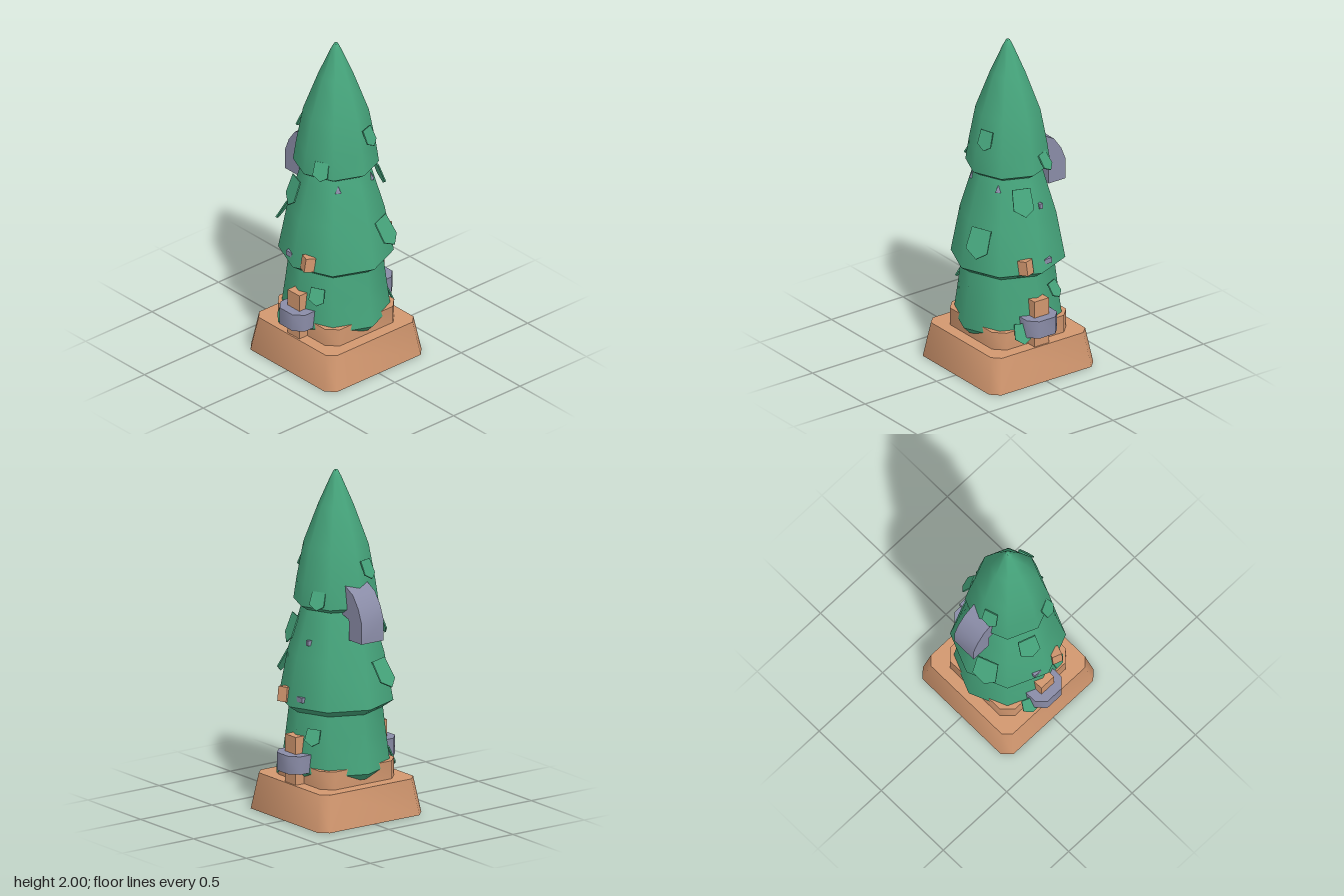
import * as THREE from 'three';
import { toCreasedNormals } from 'three/addons/utils/BufferGeometryUtils.js';

const mat = (name, color) => {
  const m = new THREE.MeshStandardMaterial({ color });
  m.name = name;
  return m;
};
const shapeOf = (pts) => new THREE.Shape(pts.map(([x, y]) => new THREE.Vector2(x, y)));

// Square block with cut corners, from y0 to y1, narrowing by the factor taper
function cutBlock(half, cut, y0, y1, taper = 1) {
  const i = half - cut;
  const s = shapeOf([[half, -i], [half, i], [i, half], [-i, half], [-half, i], [-half, -i], [-i, -half], [i, -half]]);
  const g = new THREE.ExtrudeGeometry(s, { depth: y1 - y0, bevelEnabled: false });
  g.rotateX(-Math.PI / 2);
  const p = g.attributes.position;
  for (let k = 0; k < p.count; k++) {
    const f = 1 + (taper - 1) * p.getY(k) / (y1 - y0);
    p.setXYZ(k, p.getX(k) * f, p.getY(k) + y0, p.getZ(k) * f);
  }
  return toCreasedNormals(g, 0.8);
}

export function createModel() {
  const model = new THREE.Group();
  const green = mat('foliage green', 0x46a57c);
  const wood = mat('warm wood', 0xd2976f);
  const grey = mat('blue grey', 0x8a8ca7);
  const add = (name, geo, material, parent = model) => {
    const m = new THREE.Mesh(geo, material);
    m.name = name;
    parent.add(m);
    return m;
  };

  // Stepped base
  add('plinth', cutBlock(0.365, 0.05, 0, 0.21, 0.905), wood);
  add('upperPlinth', cutBlock(0.26, 0.06, 0.2, 0.315), wood);

  // Eight-sided foliage tiers as [radius, height] profiles
  const tiers = {
    lowerFoliage: [[0, 0.24], [0.27, 0.24], [0.31, 0.28], [0.285, 0.47], [0.265, 0.64]],
    middleFoliage: [[0, 0.62], [0.27, 0.62], [0.327, 0.66], [0.275, 0.94], [0.21, 1.16], [0.19, 1.23]],
    topFoliage: [[0, 1.21], [0.205, 1.21], [0.243, 1.235], [0.225, 1.36], [0.186, 1.57], [0.1, 1.8],
      [0.03, 1.96], [0.012, 1.995], [0, 2]],
  };
  for (const [name, pts] of Object.entries(tiers)) {
    const g = new THREE.LatheGeometry(pts.map(([r, y]) => new THREE.Vector2(r, y)), 8);
    add(name, toCreasedNormals(g, 0.82), green);
  }

  // Shield-shaped leaf flaps, repeated by a half turn: x, y, z, width, height, tilt
  const leafShape = shapeOf([[-0.4, 0.5], [0.42, 0.5], [0.5, -0.25], [0.1, -0.5], [-0.42, -0.22]]);
  const leafGeo = new THREE.ExtrudeGeometry(leafShape, { depth: 0.008, bevelEnabled: false });
  const leaves = [
    [0.115, 0.845, 0.295, 0.155, 0.175, 0.5],
    [0.065, 1.445, 0.208, 0.1, 0.115, 0.4],
    [0.25, 1.09, 0.085, 0.13, 0.165, 0.35],
    [0.21, 1.28, -0.105, 0.1, 0.11, 0.5],
    [0.262, 0.495, -0.13, 0.1, 0.1, 0.5],
    [0.295, 0.3, 0.12, 0.1, 0.12, 0.4],
  ];
  for (const turn of [0, Math.PI]) {
    const side = new THREE.Group();
    side.name = turn ? 'backLeaves' : 'frontLeaves';
    side.rotation.y = turn;
    model.add(side);
    for (const [x, y, z, w, h, tilt] of leaves) {
      const leaf = add('leaf', leafGeo, green, side);
      leaf.position.set(x, y, z);
      leaf.rotation.set(-tilt, Math.atan2(x, z), 0, 'YXZ');
      leaf.scale.set(w, h, 1);
    }
  }

  // Posts, collars and small pieces poking out of the foliage on both sides
  const collar = cutBlock(0.105, 0.05, 0.285, 0.39);
  for (const s of [-1, 1]) {
    const label = s > 0 ? 'left' : 'right';
    add(label + 'Post', new THREE.BoxGeometry(0.08, 0.29, 0.1), wood).position.set(s * 0.28, 0.345, 0);
    add(label + 'Collar', collar, grey).position.x = s * 0.27;

    const stub = add(label + 'Stub', new THREE.BoxGeometry(0.06, 0.085, 0.06), wood);
    stub.position.set(s * 0.29, 0.71, 0.09);
    stub.rotation.set(0, s * 0.35, s * 0.15);

    const chip = add(label + 'Chip', new THREE.BoxGeometry(0.03, 0.03, 0.05), grey);
    chip.position.set(s * 0.288, 0.71, -0.06);

    const eye = add(label + 'FrontChip', new THREE.ConeGeometry(0.024, 0.04, 4), grey);
    eye.position.set(s * 0.122, 1.155, 0.157);
  }
  add('sideChip', new THREE.BoxGeometry(0.03, 0.03, 0.02), grey).position.set(0.228, 1.03, -0.055);

  // Curved hook on the back, drawn in side profile as [depth behind centre, height]
  const hookShape = shapeOf([[0.19, 1.37], [0.16, 1.2], [0.225, 1.18], [0.228, 1.06], [0.347, 1.06], [0.347, 1.18],
    [0.315, 1.26], [0.265, 1.33]]);
  const hook = new THREE.ExtrudeGeometry(hookShape, { depth: 0.155, bevelEnabled: false });
  hook.translate(0, 0, -0.0775);
  hook.rotateY(Math.PI / 2);
  add('backHook', toCreasedNormals(hook, 0.6), grey);

  return model;
}
